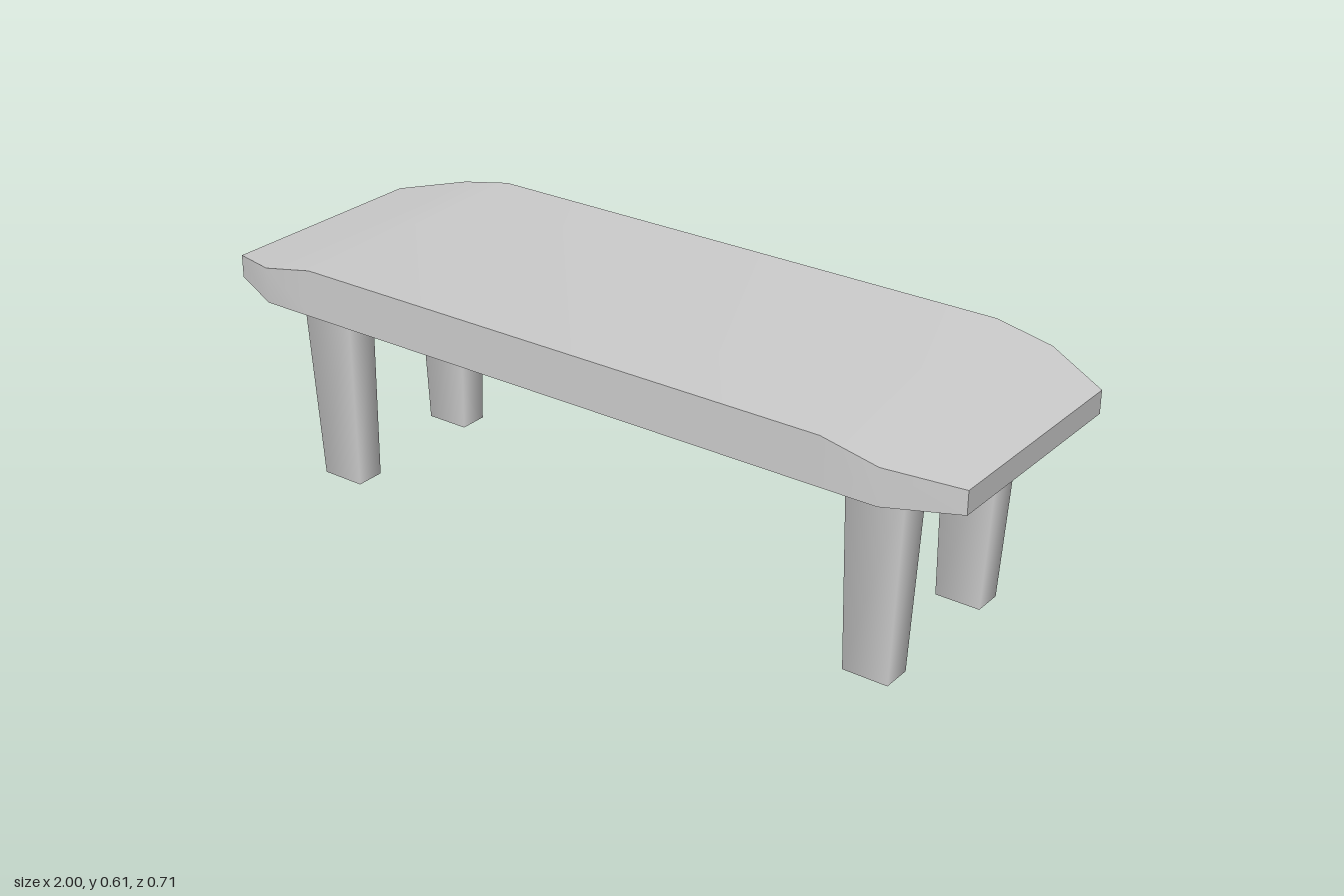
import * as THREE from 'three';
import { toCreasedNormals } from 'three/addons/utils/BufferGeometryUtils.js';

const material = new THREE.MeshStandardMaterial({ color: 0xcccccc });

// Top slab: rectangular cross-sections lofted along x, [x, half depth, top height]
function slabGeometry() {
  const half = [[0.7, 0.357, 0.61], [0.84, 0.357, 0.582], [1, 0.282, 0.55]];
  const stations = [...half.map(([x, w, y]) => [-x, w, y]).reverse(), ...half];
  const base = 0.494;
  const positions = [], index = [];
  for (const [x, w, y] of stations) {
    positions.push(x, base, w, x, base, -w, x, y, -w, x, y, w);
  }
  for (let i = 0; i < stations.length - 1; i++) {
    for (let k = 0; k < 4; k++) {
      const a = i * 4 + k, b = i * 4 + (k + 1) % 4;
      index.push(a, b, b + 4, a, b + 4, a + 4);
    }
  }
  const e = (stations.length - 1) * 4;
  index.push(0, 2, 1, 0, 3, 2, e, e + 1, e + 2, e, e + 2, e + 3);
  const geometry = new THREE.BufferGeometry();
  geometry.setAttribute('position', new THREE.Float32BufferAttribute(positions, 3));
  geometry.setIndex(index);
  return toCreasedNormals(geometry, THREE.MathUtils.degToRad(30));
}

// Four-sided leg with soft side normals, tapering on its outer faces
function legGeometry(sx, sz) {
  const topY = 0.5;
  const geometry = new THREE.CylinderGeometry(1, 1, 1, 4, 1);
  geometry.rotateY(Math.PI / 4);
  const p = geometry.attributes.position;
  for (let i = 0; i < p.count; i++) {
    const top = p.getY(i) > 0;
    const px = p.getX(i), pz = p.getZ(i);
    const [xIn, xOut] = top ? [0.694, 0.84] : [0.7, 0.813];
    const [zIn, zOut] = top ? [0.158, 0.243] : [0.158, 0.232];
    // side of the leg: -1 inner, 1 outer, 0 at the cap centre
    const u = Math.abs(px) < 1e-3 ? 0 : Math.sign(px) * sx;
    const v = Math.abs(pz) < 1e-3 ? 0 : Math.sign(pz) * sz;
    p.setXYZ(i,
      sx * (xIn + xOut + u * (xOut - xIn)) / 2,
      top ? topY : 0,
      sz * (zIn + zOut + v * (zOut - zIn)) / 2);
  }
  return geometry;
}

export function createModel() {
  const group = new THREE.Group();
  group.name = 'table';

  const slab = new THREE.Mesh(slabGeometry(), material);
  slab.name = 'tableTop';
  group.add(slab);

  for (const sx of [-1, 1]) {
    for (const sz of [-1, 1]) {
      const leg = new THREE.Mesh(legGeometry(sx, sz), material);
      leg.name = (sz > 0 ? 'front' : 'back') + (sx > 0 ? 'Left' : 'Right') + 'Leg';
      group.add(leg);
    }
  }
  return group;
}
